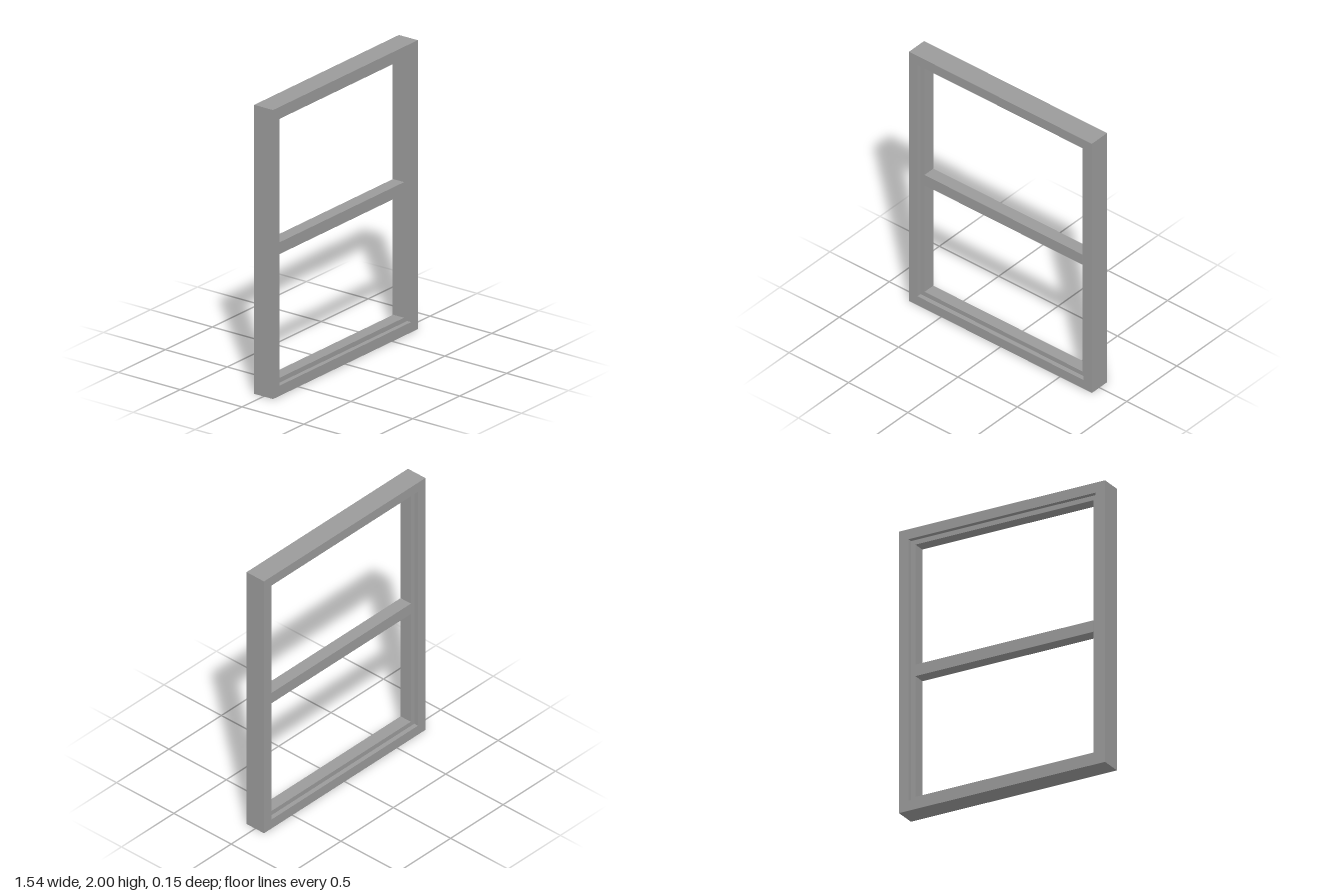
import * as THREE from 'three';

const material = new THREE.MeshStandardMaterial({ color: 0x9a9a9a, flatShading: true });

// Rectangular ring: outer size, border width and depth, centred on y = 1
function ring(name, width, height, border, depth) {
  const w = width / 2, h = height / 2, iw = w - border, ih = h - border;
  const shape = new THREE.Shape([[-w, -h], [w, -h], [w, h], [-w, h]].map(p => new THREE.Vector2(...p)));
  shape.holes.push(new THREE.Path([[-iw, -ih], [-iw, ih], [iw, ih], [iw, -ih]].map(p => new THREE.Vector2(...p))));
  const geometry = new THREE.ExtrudeGeometry(shape, { depth, bevelEnabled: false });
  geometry.translate(0, 1, -depth / 2);
  const mesh = new THREE.Mesh(geometry, material);
  mesh.name = name;
  return mesh;
}

export function createModel() {
  const group = new THREE.Group();
  group.name = 'window';

  // Deep outer frame and the recessed sash inside it
  group.add(ring('outerFrame', 1.54, 2, 0.071, 0.152));
  group.add(ring('sash', 1.398, 1.858, 0.033, 0.087));

  // Horizontal rail between the two panes, slightly proud of the sash
  const rail = new THREE.Mesh(new THREE.BoxGeometry(1.334, 0.082, 0.09), material);
  rail.name = 'middleRail';
  rail.position.y = 1.002;
  group.add(rail);

  return group;
}
